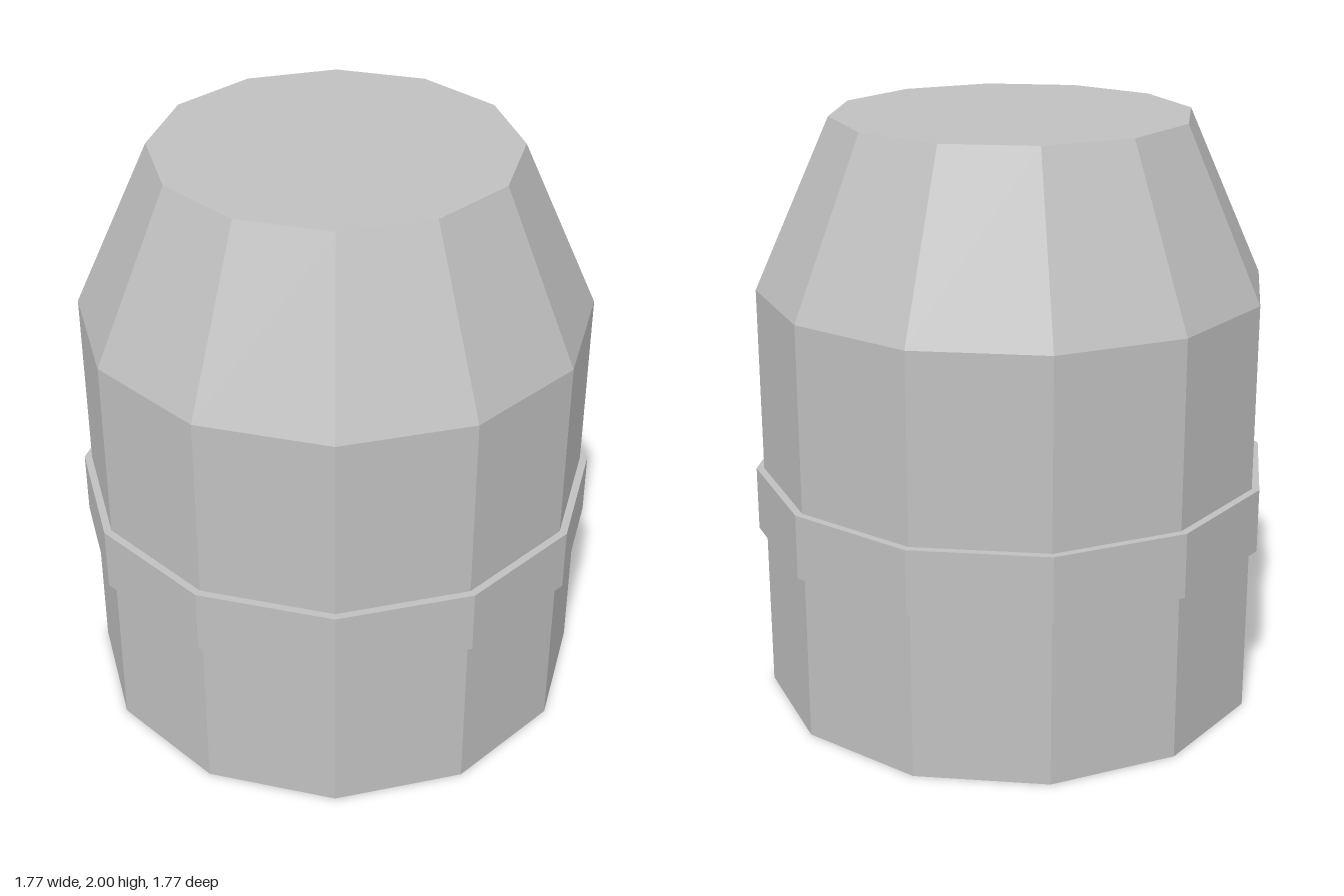
import * as THREE from 'three';

const SIDES = 12;

export function createModel() {
  const group = new THREE.Group();
  group.name = 'canister';

  const grey = new THREE.MeshStandardMaterial({
    color: 0xc0c0c0, flatShading: true, side: THREE.DoubleSide,
  });
  grey.name = 'light grey';

  // A twelve-sided ring or cone standing between two heights
  function addPart(name, topRadius, bottomRadius, y0, y1, open) {
    const geometry = new THREE.CylinderGeometry(topRadius, bottomRadius, y1 - y0, SIDES, 1, open);
    const mesh = new THREE.Mesh(geometry, grey);
    mesh.name = name;
    mesh.position.y = (y0 + y1) / 2;
    group.add(mesh);
  }

  // Thin-walled body, open underneath
  addPart('body', 0.857, 0.857, 0, 1.43, true);
  // Sloping shoulder
  addPart('shoulder', 0.6, 0.857, 1.43, 2, true);
  // Solid band, whose underside closes the hollow base
  addPart('band', 0.883, 0.883, 0.58, 0.8, false);

  // Flat lid
  const lid = new THREE.Mesh(new THREE.CircleGeometry(0.6, SIDES), grey);
  lid.name = 'lid';
  lid.rotation.x = -Math.PI / 2;
  lid.position.y = 2;
  group.add(lid);

  return group;
}
